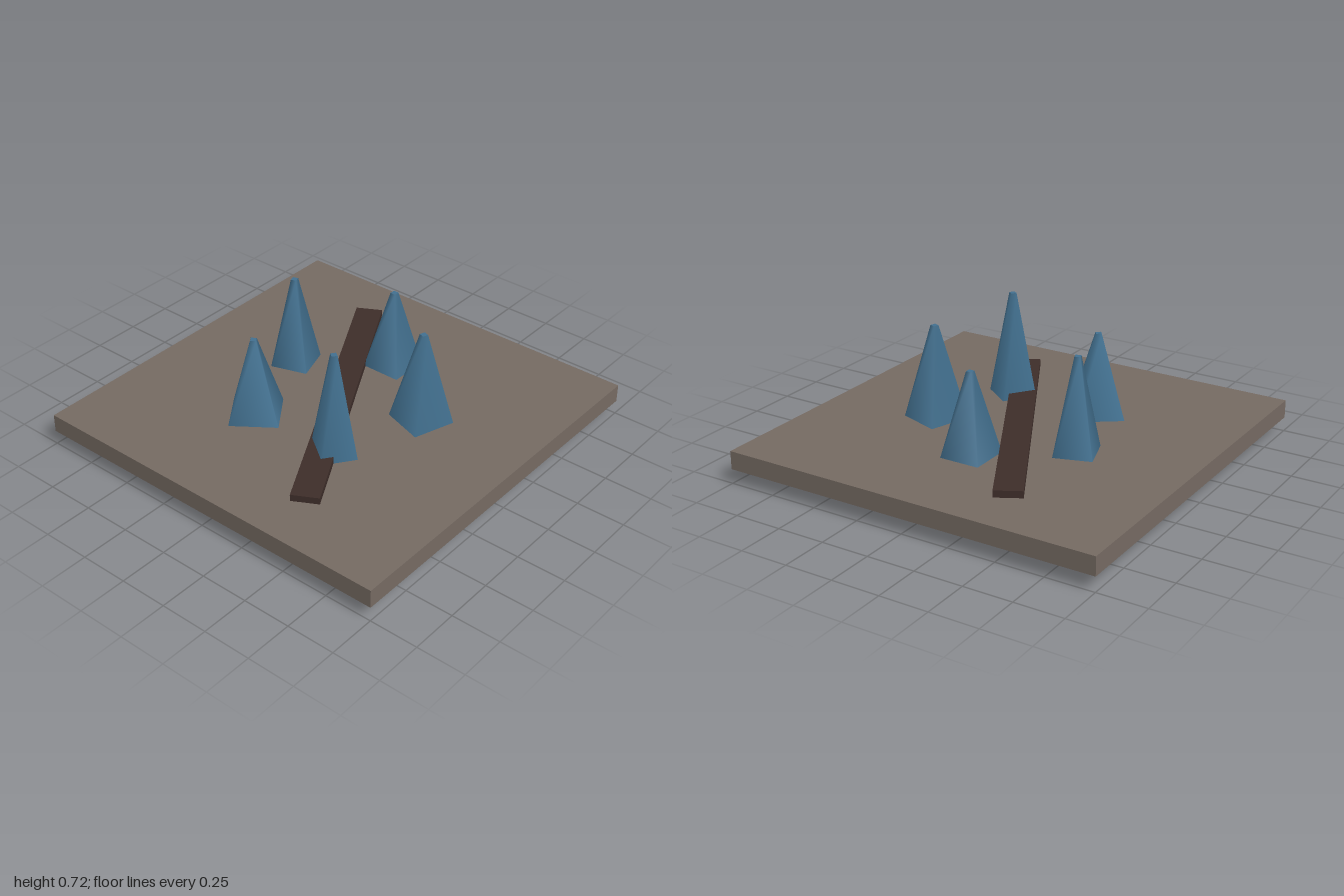
import * as THREE from 'three';

export function createModel() {
  const model = new THREE.Group();
  const stone = new THREE.MeshStandardMaterial({ color: 0x756a62 });
  const dark = new THREE.MeshStandardMaterial({ color: 0x3d2d29 });
  const crystal = new THREE.MeshStandardMaterial({ color: 0x42708f });

  const add = (name, geometry, material, x, y, z, turn = 0) => {
    const mesh = new THREE.Mesh(geometry, material);
    mesh.name = name;
    mesh.position.set(x, y, z);
    mesh.rotation.y = turn;
    model.add(mesh);
  };

  // ground slab and the raised strip lying diagonally across it
  add('groundSlab', new THREE.BoxGeometry(2, 0.095, 2), stone, 0, 0.1225, 0);
  add('strip', new THREE.BoxGeometry(1.66, 0.04, 0.14), dark, 0, 0.185, 0, 0.5);

  // ring of square spikes, all centred at one height so taller ones reach below the slab
  const heights = [0.475, 0.597, 0.72];
  const ring = 0.427;
  for (let i = 0; i < 5; i++) {
    const a = (i / 5) * Math.PI * 2;
    const baseRadius = i % 2 ? 0.191 : 0.164;
    const spike = new THREE.CylinderGeometry(0.02, baseRadius, heights[i % 3], 4);
    add('spike' + (i + 1), spike, crystal,
      Math.cos(a) * ring, 0.36, Math.sin(a) * ring, a + Math.PI / 4);
  }
  return model;
}
